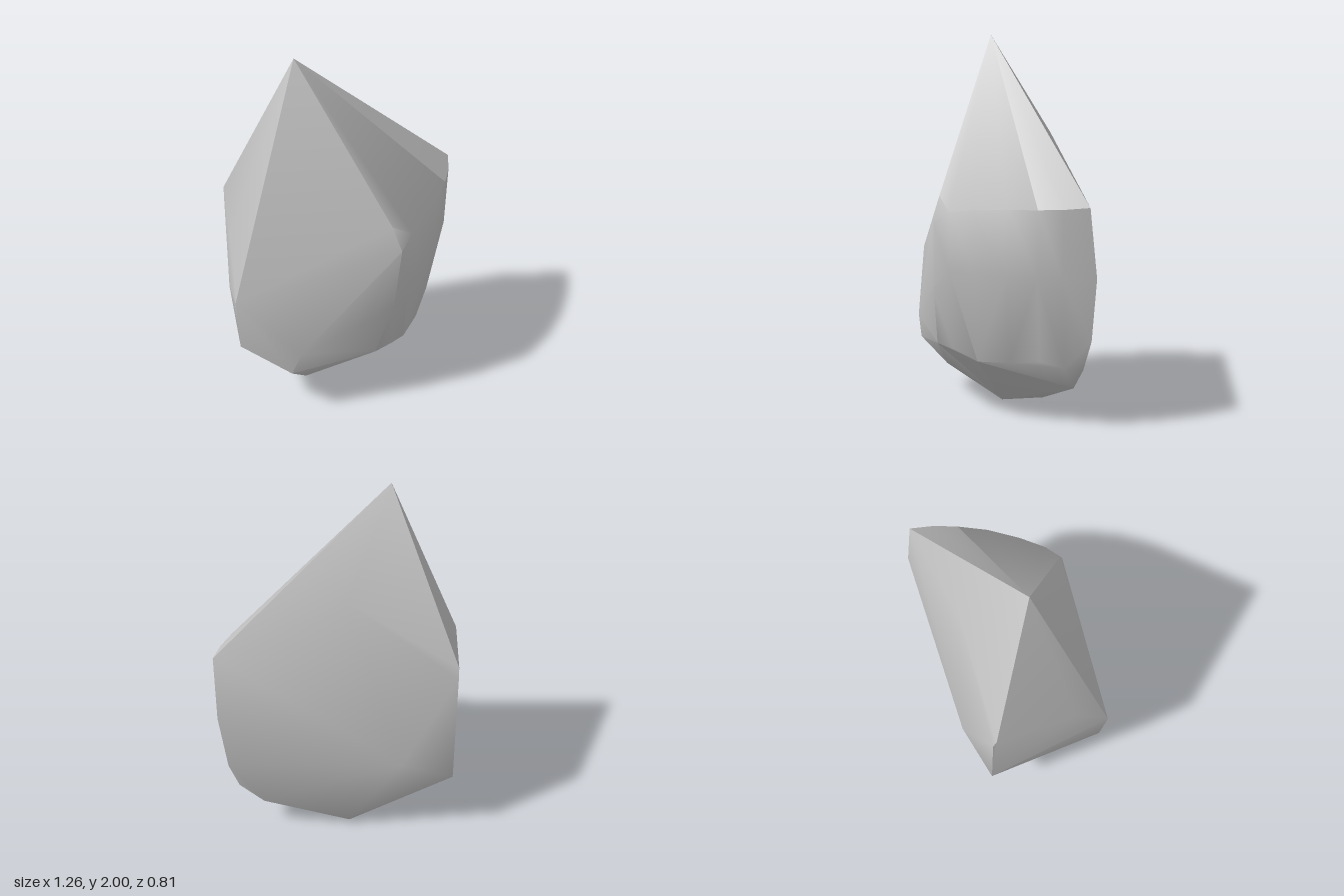
import * as THREE from 'three';
import { ConvexGeometry } from 'three/addons/geometries/ConvexGeometry.js';
import { toCreasedNormals } from 'three/addons/utils/BufferGeometryUtils.js';

export function createModel() {
  const group = new THREE.Group();
  group.name = 'rock';
  const stone = new THREE.MeshStandardMaterial({ color: 0xc4c4c4 });
  stone.name = 'pale grey stone';

  const corners = [
    // peak and back shoulder
    [-0.26, 2, 0], [-0.05, 1.48, -0.29],
    // flat left face
    [-0.63, 1.1, -0.3], [-0.63, 1.06, 0.14], [-0.63, 0.78, 0.335],
    [-0.615, 0.47, 0.31], [-0.63, 0.4, -0.335], [-0.63, 1.04, -0.32],
    // front face
    [0.19, 1.18, 0.345], [0.235, 1.05, 0.383], [0.2, 0.7, 0.38],
    [0.11, 0.38, 0.35], [-0.35, 0.31, 0.385], [-0.3, 0.45, 0.405],
    // back face
    [0.63, 1.16, -0.35], [0.62, 0.8, -0.39], [0.58, 0.47, -0.375],
    [0.53, 0.31, -0.345], [0.4, 0.18, -0.325], [-0.35, 0.53, -0.408],
    // underside
    [-0.26, 0.17, 0.25], [-0.26, 0.05, 0.02], [-0.07, 0, -0.03],
    [-0.07, 0, -0.26], [-0.07, 0.04, -0.295],
  ];
  // rounded right side: columns of x, z, top height and bottom height, tapering downward
  for (const [x, z, top, bottom] of [
    [0.3, 0.31, 1.11, 0.37], [0.39, 0.195, 1.13, 0.32], [0.49, 0.045, 1.14, 0.33],
    [0.56, -0.1, 1.145, 0.35], [0.605, -0.22, 1.15, 0.32],
  ]) {
    corners.push([x, top, z], [x - 0.012, 0.8, z], [x - 0.09, bottom, z - 0.03]);
  }

  const hull = new ConvexGeometry(corners.map((p) => new THREE.Vector3(...p)));
  const body = new THREE.Mesh(toCreasedNormals(hull, 0.72), stone);
  body.name = 'stoneBody';
  group.add(body);
  return group;
}
